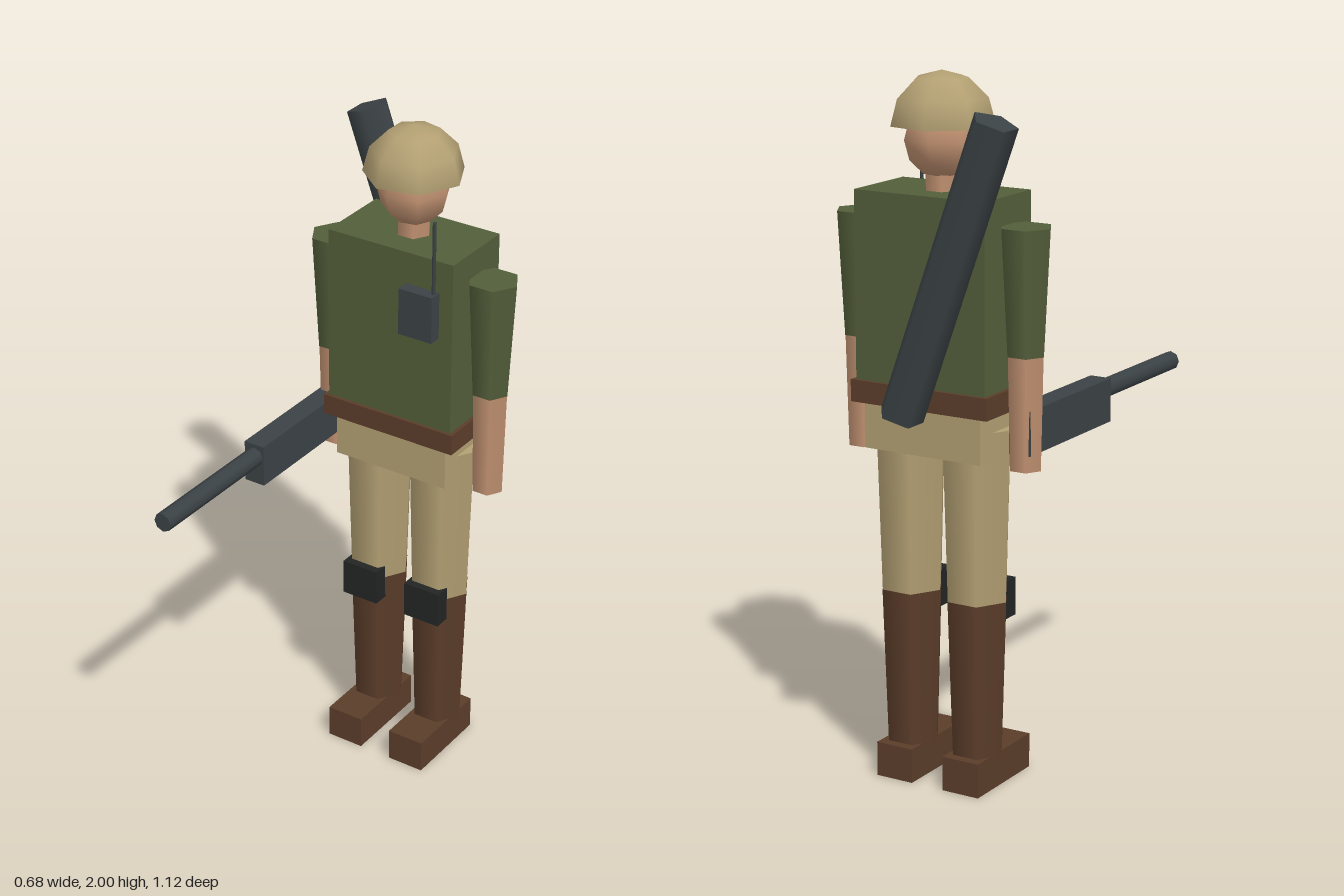
import * as THREE from 'three';

const mat = (name, color) => {
  const m = new THREE.MeshStandardMaterial({ color });
  m.name = name;
  return m;
};

export function createModel() {
  const green = mat('shirt green', 0x535e3a);
  const tan = mat('khaki', 0xb3a073);
  const skin = mat('skin', 0xbf9070);
  const brown = mat('leather brown', 0x5b3d2a);
  const metal = mat('gunmetal', 0x3b4245);
  const black = mat('pad black', 0x232424);
  tan.side = THREE.DoubleSide; // the helmet is an open shell

  const model = new THREE.Group();
  model.name = 'soldier';
  const body = new THREE.Group();
  body.name = 'figure';
  body.position.set(0.003, 0, -0.279);
  model.add(body);

  const add = (parent, name, geometry, material, x, y, z) => {
    const mesh = new THREE.Mesh(geometry, material);
    mesh.name = name;
    mesh.position.set(x, y, z);
    parent.add(mesh);
    return mesh;
  };
  const box = (w, h, d) => new THREE.BoxGeometry(w, h, d);
  // Prism-like cylinder with one corner pointing to +x
  const cyl = (top, bottom, h, sides) =>
    new THREE.CylinderGeometry(top, bottom, h, sides, 1, false, Math.PI / 2);
  // Limb segment between two heights
  const limb = (name, material, x, y0, y1, r0, r1) =>
    add(body, name, cyl(r1, r0, y1 - y0, 6), material, x, (y0 + y1) / 2, 0);

  // Head, neck and helmet
  add(body, 'head', new THREE.SphereGeometry(0.107, 7, 6, Math.PI), skin, 0, 1.817, 0);
  add(body, 'neck', cyl(0.05, 0.05, 0.1, 6), skin, 0, 1.71, 0);
  add(body, 'helmet', new THREE.SphereGeometry(0.145, 7, 3, Math.PI, Math.PI * 2, 0, Math.PI / 2),
    tan, 0, 1.855, 0);

  // Trunk
  add(body, 'torso', box(0.41, 0.525, 0.24), green, 0, 1.417, 0);
  add(body, 'belt', box(0.434, 0.062, 0.26), brown, 0, 1.125, 0);
  add(body, 'hips', box(0.37, 0.14, 0.22), tan, 0, 1.033, 0);

  // Limbs
  for (const [side, s] of [['left', 1], ['right', -1]]) {
    limb(side + 'Sleeve', green, s * 0.261, 1.255, 1.603, 0.056, 0.075);
    limb(side + 'Forearm', skin, s * 0.261, 0.94, 1.255, 0.048, 0.055);
    limb(side + 'Thigh', tan, s * 0.107, 0.55, 1.04, 0.092, 0.106);
    limb(side + 'Boot', brown, s * 0.107, 0.095, 0.55, 0.078, 0.093);
    add(body, side + 'Foot', box(0.116, 0.1, 0.28), brown, s * 0.109, 0.05, 0.044);
    add(body, side + 'KneePad', box(0.118, 0.11, 0.05), black, s * 0.108, 0.535, 0.08);
  }

  // Chest radio
  add(body, 'radio', box(0.108, 0.14, 0.04), metal, 0.108, 1.515, 0.139);
  add(body, 'radioAntenna', cyl(0.006, 0.006, 0.3, 6), metal, 0.152, 1.65, 0.134);

  // Rifle in the right hand
  const rifle = new THREE.Group();
  rifle.name = 'rifle';
  model.add(rifle);
  add(rifle, 'rifleBody', box(0.065, 0.125, 0.447), metal, -0.259, 1.048, -0.09);
  add(rifle, 'rifleBarrel', cyl(0.028, 0.028, 0.46, 8), metal, -0.257, 1.072, 0.33)
    .rotation.x = Math.PI / 2;

  // Tilted launch tube on the back
  add(model, 'backTube', cyl(0.064, 0.064, 0.862, 5), metal, -0.146, 1.503, -0.496)
    .rotation.z = THREE.MathUtils.degToRad(20);

  return model;
}
